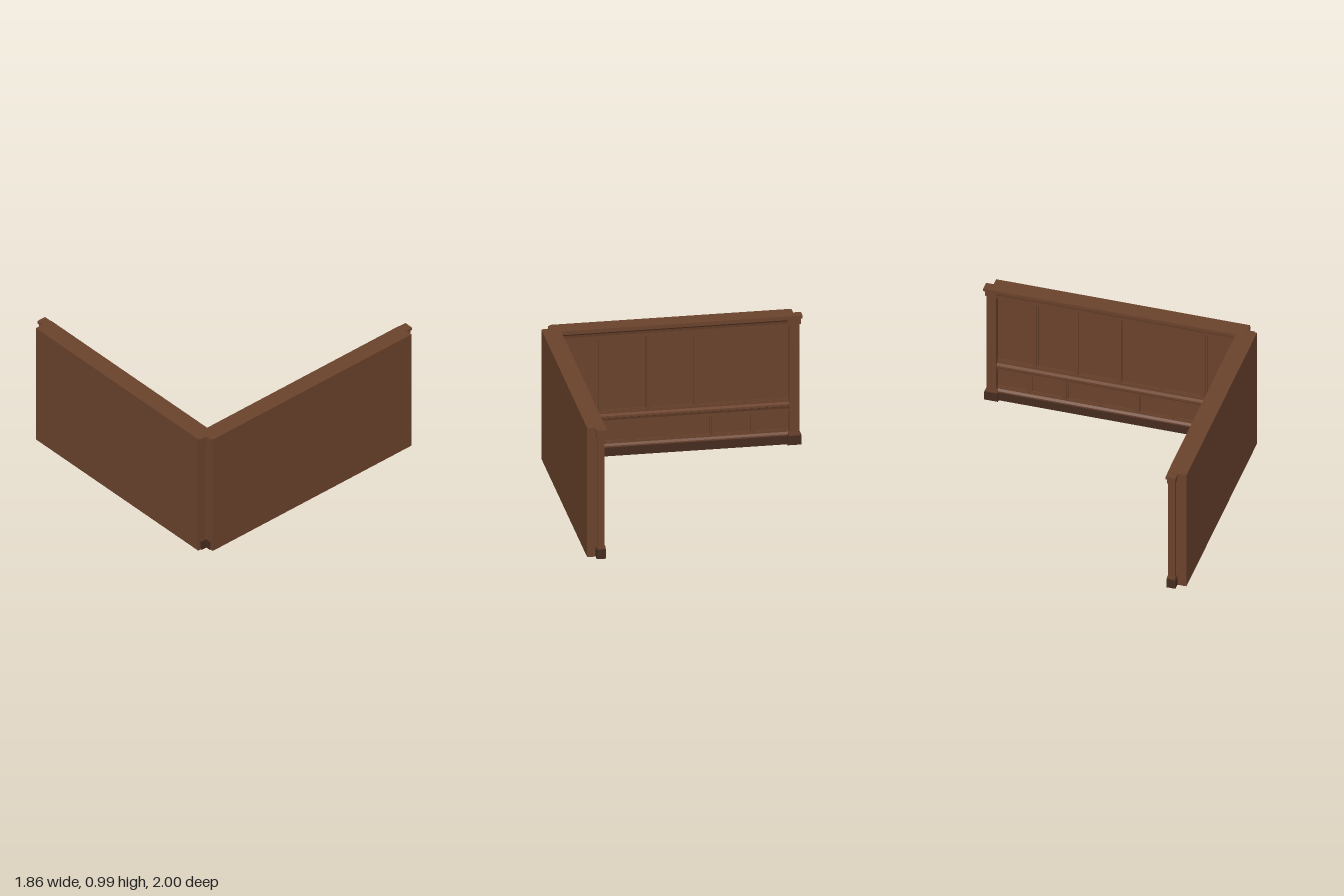
import * as THREE from 'three';

const wood = new THREE.MeshStandardMaterial({ color: 0x6a422c });
wood.name = 'brown wood';
const darkWood = new THREE.MeshStandardMaterial({ color: 0x462c20 });
darkWood.name = 'dark wood';

// Box given by its limits on each axis
function block(parent, name, x0, x1, y0, y1, z0, z1, material = wood) {
  const mesh = new THREE.Mesh(new THREE.BoxGeometry(x1 - x0, y1 - y0, z1 - z0), material);
  mesh.position.set((x0 + x1) / 2, (y0 + y1) / 2, (z0 + z1) / 2);
  mesh.name = name;
  parent.add(mesh);
}

// Long moulding: profile of [depth, height] points swept along the wall
function moulding(parent, name, length, profile, material = wood) {
  const shape = new THREE.Shape(profile.map(([d, h]) => new THREE.Vector2(-d, h)));
  const geometry = new THREE.ExtrudeGeometry(shape, { depth: length, bevelEnabled: false });
  geometry.translate(0, 0, -length / 2).rotateY(Math.PI / 2);
  const mesh = new THREE.Mesh(geometry, material);
  mesh.name = name;
  parent.add(mesh);
}

// Thin raised frame around one panel
function panelFrame(parent, x0, x1, y0, y1) {
  const rect = (Type, inset) => new Type([
    new THREE.Vector2(x0 + inset, y0 + inset), new THREE.Vector2(x1 - inset, y0 + inset),
    new THREE.Vector2(x1 - inset, y1 - inset), new THREE.Vector2(x0 + inset, y1 - inset),
  ]);
  const shape = rect(THREE.Shape, 0);
  shape.holes.push(rect(THREE.Path, 0.009));
  const mesh = new THREE.Mesh(new THREE.ExtrudeGeometry(shape, { depth: 0.008, bevelEnabled: false }), wood);
  mesh.name = 'panelMoulding';
  parent.add(mesh);
}

// Row of panels separated by upright stiles
function panelRow(parent, length, count, y0, y1) {
  const step = length / count, half = 0.012;
  for (let i = 0; i <= count; i++) {
    const x = -length / 2 + i * step;
    const a = Math.max(x - half, -length / 2), b = Math.min(x + half, length / 2);
    block(parent, 'stile', a, b, y0, y1, 0, 0.015);
    if (i < count) panelFrame(parent, x + half, x + step - half, y0, y1);
  }
}

// Post wrapping one end of a wall
function pilaster(parent, x) {
  const group = new THREE.Group();
  group.name = 'pilaster';
  const tiers = [
    ['plinth', 0.05, 0.033, 0, 0.07, darkWood],
    ['plinthCap', 0.042, 0.029, 0.07, 0.09, wood],
    ['shaft', 0.035, 0.025, 0.09, 0.92, wood],
    ['capital', 0.046, 0.031, 0.92, 0.962, wood],
    ['capitalTop', 0.057, 0.036, 0.962, 0.983, wood],
  ];
  for (const [name, w, d, y0, y1, material] of tiers) {
    block(group, name, -w, w, y0, y1, -d, d, material);
  }
  group.position.set(x, 0, 0.022);
  parent.add(group);
}

// Panelled wall whose decorated face looks along +z at z = 0
function panelledWall(name, length, depth, upperCount, lowerCount) {
  const wall = new THREE.Group();
  wall.name = name;
  const h = length / 2;
  block(wall, 'backing', -h, h, 0, 0.985, -depth, 0);
  // Skirting and its cap
  block(wall, 'skirting', -h, h, 0, 0.065, 0, 0.035, darkWood);
  moulding(wall, 'skirtingCap', length, [[0, 0.065], [0.03, 0.065], [0.03, 0.075], [0.015, 0.088], [0, 0.088]]);
  // Rails
  block(wall, 'bottomRail', -h, h, 0.088, 0.1, 0, 0.015);
  block(wall, 'middleRail', -h, h, 0.25, 0.335, 0, 0.015);
  block(wall, 'topRail', -h, h, 0.89, 0.92, 0, 0.015);
  moulding(wall, 'chairRail', length,
    [[0, 0.268], [0.02, 0.268], [0.026, 0.285], [0.04, 0.292], [0.04, 0.308], [0.022, 0.318], [0, 0.318]]);
  panelRow(wall, length, lowerCount, 0.1, 0.25);
  panelRow(wall, length, upperCount, 0.335, 0.89);
  // Stepped cornice
  moulding(wall, 'cornice', length,
    [[0, 0.915], [0.022, 0.915], [0.026, 0.935], [0.045, 0.95], [0.045, 0.96], [0.06, 0.965], [0.06, 0.985], [0, 0.985]]);
  pilaster(wall, -h);
  pilaster(wall, h);
  return wall;
}

export function createModel() {
  const model = new THREE.Group();
  model.name = 'panelledCornerWalls';

  const frontWall = panelledWall('frontWall', 1.736, 0.078, 5, 6);
  frontWall.rotation.y = Math.PI;
  frontWall.position.set(-0.009, 0, 0.922);

  const sideWall = panelledWall('sideWall', 1.87, 0.072, 6, 7);
  sideWall.rotation.y = -Math.PI / 2;
  sideWall.position.set(0.858, 0, -0.009);

  model.add(frontWall, sideWall);
  return model;
}
